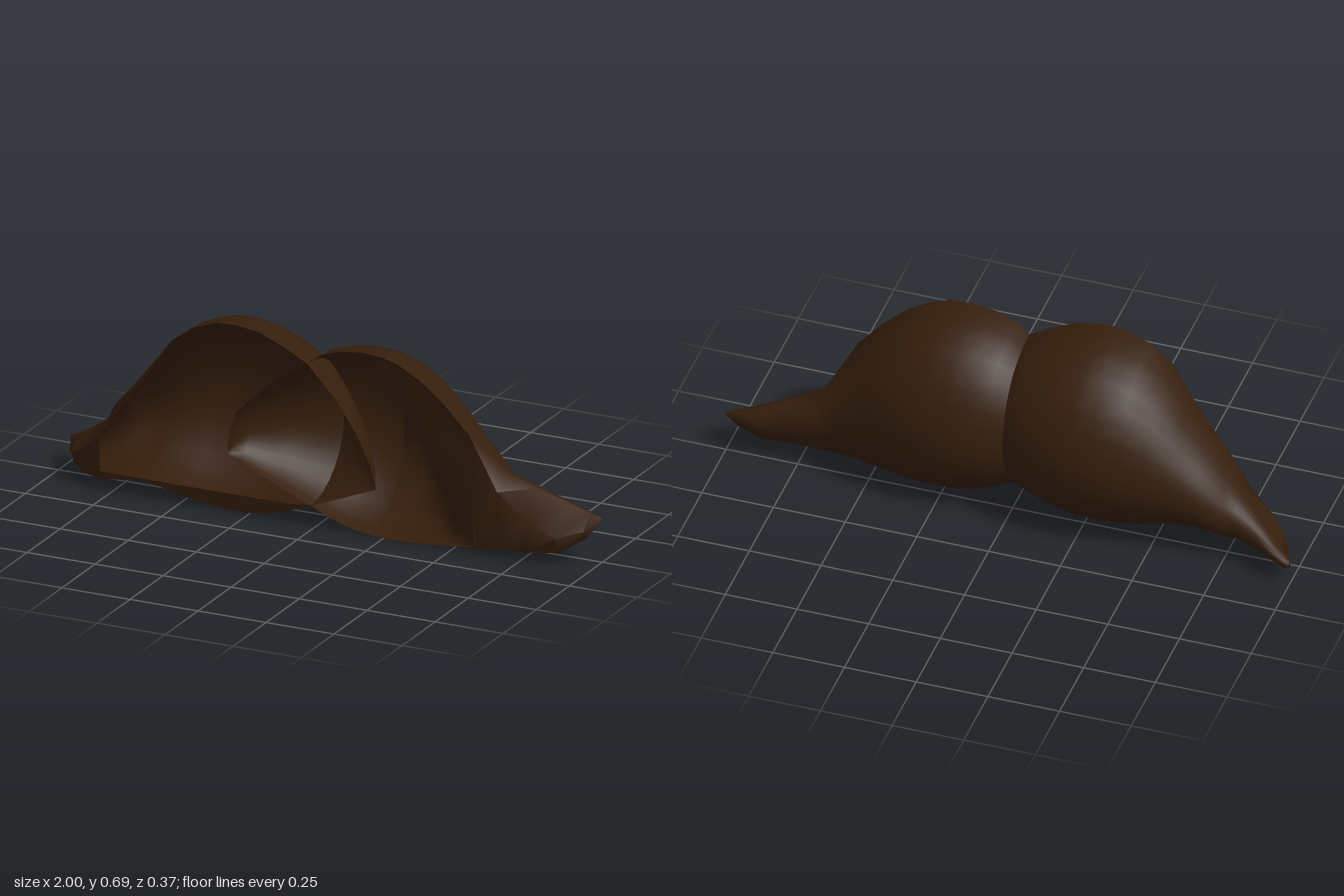
import * as THREE from 'three';
import { toCreasedNormals } from 'three/addons/utils/BufferGeometryUtils.js';

// Depth of the open front rim, which leans slightly forward with height
const rimZ = (y) => 0.117 + 0.097 * y;
const ARC = 16;

// Stations run from -x to +x:
// [x, bottom, top, back z, crest z, rim bottom z, rim top y, rim top z]
const rightStations = [
  [-1.0, 0.072, 0.09, -0.112, -0.095, -0.095],
  [-0.98, 0.05, 0.1, -0.111, -0.08, -0.06, 0.08, -0.05],
  [-0.94, 0.042, 0.125, -0.1, -0.06, 0.01, 0.09, 0.04],
  [-0.88, 0.032, 0.165, -0.075, -0.02, 0.06, 0.12, 0.09],
  [-0.79, 0.04, 0.235, -0.06, 0.05, 0.115, 0.19, 0.123],
  [-0.75, 0.045, 0.3, -0.09, 0.085, 0.118, 0.25, 0.133],
  [-0.66, 0.063, 0.4, -0.112, 0.12, 0.122, 0.37, 0.145],
  [-0.58, 0.055, 0.495, -0.13, 0.145, 0.122, 0.475, 0.157],
  [-0.5, 0.035, 0.595, -0.152],
  [-0.42, 0.02, 0.655, -0.172],
  [-0.33, 0.01, 0.69, -0.183],
  [-0.25, 0.01, 0.692, -0.183],
  [-0.17, 0.022, 0.68, -0.169],
  [-0.08, 0.05, 0.64, -0.143],
  [0.0, 0.08, 0.595, -0.105],
  [0.1, 0.12, 0.48, -0.03],
  [0.17, 0.15, 0.365, 0.04],
  [0.215, 0.167, 0.26, 0.1],
  [0.23, 0.175, 0.19, 0.133],
];
const leftStations = [
  [-0.31, 0.215, 0.235, 0.135],
  [-0.3, 0.208, 0.3, 0.1],
  [-0.27, 0.195, 0.375, 0.055],
  [-0.15, 0.135, 0.49, -0.035],
  [0.0, 0.07, 0.595, -0.105],
  [0.05, 0.046, 0.635, -0.127],
  [0.12, 0.02, 0.66, -0.145],
  [0.2, 0.006, 0.67, -0.151],
  [0.28, 0, 0.665, -0.144],
  [0.34, 0.002, 0.645, -0.133],
  [0.42, 0.008, 0.6, -0.11],
  [0.5, 0.015, 0.53, -0.08],
  [0.59, 0.021, 0.43, -0.045],
  [0.68, 0.028, 0.28, -0.028, 0.06, 0.115, 0.24, 0.138],
  [0.78, 0.034, 0.24, -0.022, 0.045, 0.105, 0.15, 0.127],
  [0.88, 0.042, 0.2, -0.029, 0.025, 0.09, 0.1, 0.115],
  [0.96, 0.09, 0.17, -0.014, 0.01, 0.045, 0.12, 0.06],
  [1.0, 0.145, 0.155, -0.002, 0, 0.002],
];

// Rounded section from crest over the back to the bottom;
// fill(x, y) moves each point forward, 0 = shell, 1 = front plane
function sectionArc([x, bottom, top, back, zt = rimZ(top), zb = rimZ(bottom)], fill) {
  const mid = (top + bottom) / 2, half = (top - bottom) / 2;
  const depth = (zt + zb) / 2 - back;
  return Array.from({ length: ARC + 1 }, (_, j) => {
    const a = (Math.PI * j) / ARC;
    const y = mid + half * Math.cos(a);
    const bulge = Math.pow(Math.abs(Math.sin(a)), j < ARC / 2 ? 0.82 : 1);
    return [x, y, THREE.MathUtils.lerp(zt, zb, j / ARC) - depth * bulge * (1 - fill(x, y))];
  });
}

// Joins equal rows of points into a smooth surface; rows in the closed range
// also join their last point to their first
function loft(rows, closeFrom = 0, closeTo = 0) {
  const index = [], n = rows[0].length;
  const quad = (a, b, c, d) => index.push(a, b, c, a, c, d);
  for (let i = 0; i < rows.length - 1; i++) {
    const p = i * n, q = p + n;
    for (let j = 0; j < n - 1; j++) quad(p + j, q + j, q + j + 1, p + j + 1);
    if (i >= closeFrom && i < closeTo) quad(p + n - 1, q + n - 1, q, p);
  }
  const geometry = new THREE.BufferGeometry();
  geometry.setAttribute('position', new THREE.Float32BufferAttribute(rows.flat(2), 3));
  geometry.setIndex(index);
  return toCreasedNormals(geometry, 1.1);
}

// Shell open at the front, closed along the outer tip
function makeShell(stations, lip, capFrom, capTo) {
  const rows = stations.map((s) => {
    const [x, bottom, top, , zt = rimZ(top), zb = rimZ(bottom), frontY = top, frontZ = zt] = s;
    // Small lip curling up along the lower rim
    const lipY = Math.max(bottom, Math.min(lip, (top + bottom) / 2));
    const lipPoint = [x, lipY, zb + 0.097 * (lipY - bottom)];
    return [[x, frontY, frontZ], ...sectionArc(s, () => 0), lipPoint];
  });
  return loft(rows, capFrom, capTo);
}

// Front wall rising from a slanting valley inside the shell to the front plane
function makeFrontWall(stations) {
  const fill = (x, y) => {
    const valley = 0.42 - 0.55 * y;
    return 0.01 + 0.99 * THREE.MathUtils.smoothstep(x, valley, valley + 0.2);
  };
  return loft(stations.map((s) => sectionArc(s, fill).reverse()));
}

export function createModel() {
  const group = new THREE.Group();
  group.name = 'moustache';
  const material = new THREE.MeshStandardMaterial({ color: 0x351e0c, side: THREE.DoubleSide });
  const add = (name, geometry) => {
    const mesh = new THREE.Mesh(geometry, material);
    mesh.name = name;
    group.add(mesh);
  };

  // Two overlapping halves that cross at the middle
  add('rightHalf', makeShell(rightStations, 0.07, 0, 4));
  add('leftHalf', makeShell(leftStations, 0, 12, 17));
  add('leftFrontWall', makeFrontWall(leftStations.slice(7, 13)));
  return group;
}
